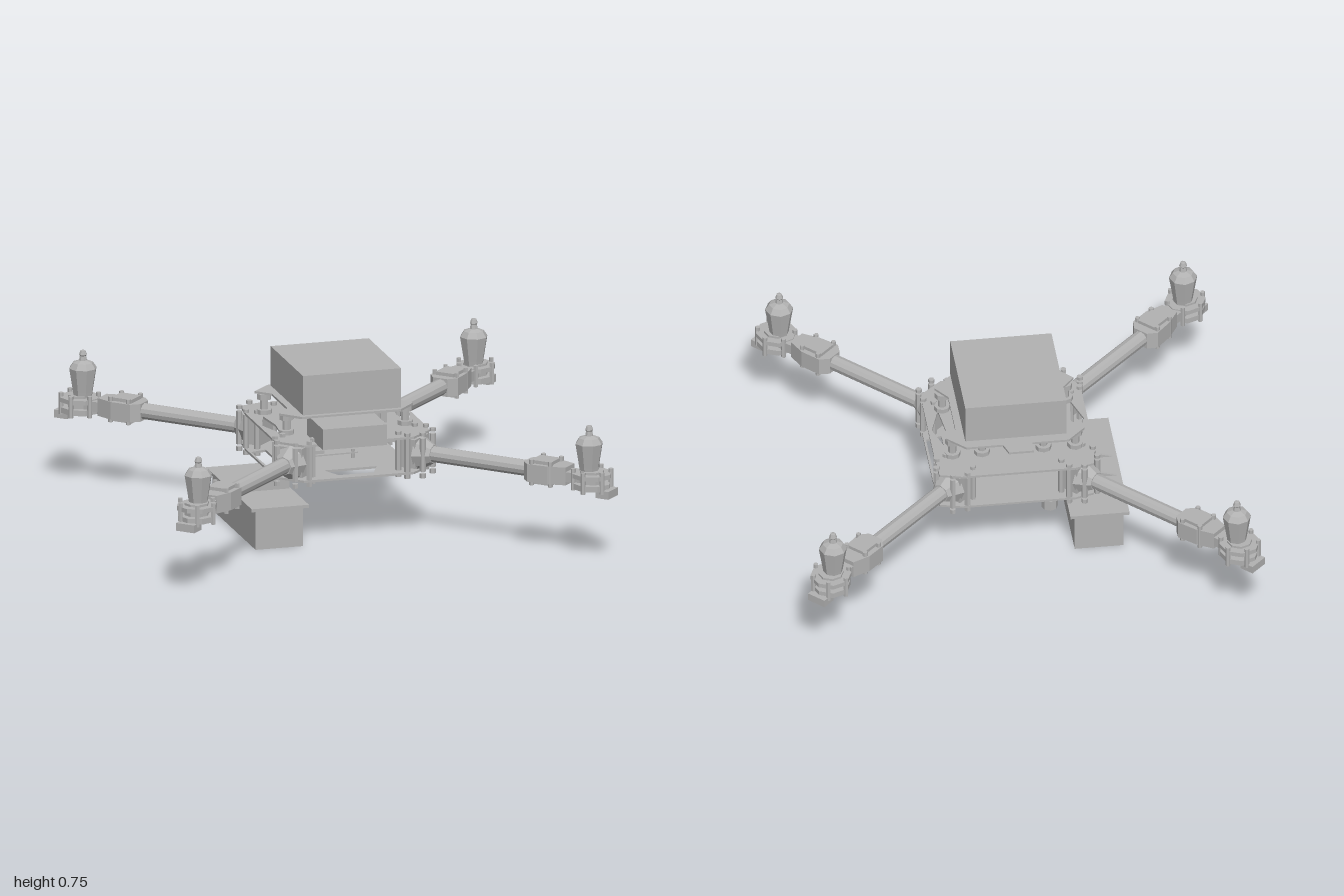
import * as THREE from 'three';

export function createModel() {
  const model = new THREE.Group();
  model.name = 'quadcopter';
  const grey = new THREE.MeshStandardMaterial({ color: 0xb2b2b2 });
  grey.name = 'grey';
  grey.flatShading = true;
  grey.side = THREE.DoubleSide;

  function add(parent, name, geometry, x = 0, y = 0, z = 0) {
    const mesh = new THREE.Mesh(geometry, grey);
    mesh.name = name;
    mesh.position.set(x, y, z);
    parent.add(mesh);
    return mesh;
  }
  // Box given by its limits
  const box = (parent, name, x0, x1, y0, y1, z0, z1) =>
    add(parent, name, new THREE.BoxGeometry(x1 - x0, y1 - y0, z1 - z0), (x0 + x1) / 2, (y0 + y1) / 2, (z0 + z1) / 2);
  // Upright post between two heights
  const post = (parent, name, x, z, y0, y1, r, sides = 6, rTop = r) =>
    add(parent, name, new THREE.CylinderGeometry(rTop, r, y1 - y0, sides), x, (y0 + y1) / 2, z);
  // Horizontal plate from an outline of [x, z] points, with optional holes
  function plate(parent, name, outline, y0, y1, holes = []) {
    const toPoints = (list) => list.map(([x, z]) => new THREE.Vector2(x, -z));
    const shape = new THREE.Shape(toPoints(outline));
    holes.forEach((h) => shape.holes.push(new THREE.Path(toPoints(h))));
    const geometry = new THREE.ExtrudeGeometry(shape, { depth: y1 - y0, bevelEnabled: false });
    geometry.rotateX(-Math.PI / 2);
    return add(parent, name, geometry, 0, y0, 0);
  }

  // Frame plates
  const octagon = [[-0.25, -0.355], [0.25, -0.355], [0.345, -0.33], [0.35, -0.2], [0.35, 0.2], [0.345, 0.27],
    [0.25, 0.355], [-0.25, 0.355], [-0.335, 0.27], [-0.35, 0.2], [-0.35, -0.2], [-0.335, -0.33]];
  plate(model, 'middlePlate', octagon, 0.45, 0.46, [
    [[0.29, -0.14], [0.335, 0], [0.29, 0.14], [0.275, 0]],
    [[-0.29, -0.14], [-0.275, 0], [-0.29, 0.14], [-0.335, 0]],
  ]);
  plate(model, 'lowerPlate', octagon, 0.29, 0.3, [
    [[0.27, -0.17], [0.34, -0.15], [0.34, 0.15], [0.27, 0.17]],
    [[-0.27, -0.17], [-0.27, 0.17], [-0.34, 0.15], [-0.34, -0.15]],
    [[-0.12, 0.22], [0.12, 0.22], [0.08, 0.31], [-0.08, 0.31]],
  ]);
  plate(model, 'topPlate', [[-0.23, 0.255], [0.22, 0.255], [0.3, 0.17], [0.25, 0.1], [0.25, -0.14], [0.3, -0.2],
    [0.22, -0.28], [0.06, -0.28], [0.04, -0.34], [-0.07, -0.34], [-0.07, -0.28], [-0.23, -0.28],
    [-0.31, -0.2], [-0.25, -0.14], [-0.25, 0.1], [-0.31, 0.17]], 0.55, 0.56);

  // Battery on top and the electronics between the plates
  box(model, 'topBattery', -0.225, 0.22, 0.567, 0.745, -0.243, 0.255);
  box(model, 'batteryPad', -0.2, 0.2, 0.559, 0.568, -0.22, 0.23);
  box(model, 'frontBox', -0.19, 0.1, 0.458, 0.551, 0.2, 0.442);
  box(model, 'receiver', 0.09, 0.2, 0.462, 0.51, -0.1, 0.11);
  box(model, 'rearModule', -0.07, 0.05, 0.462, 0.5, -0.1, 0.11);
  plate(model, 'powerBoard', [[-0.17, -0.1], [-0.05, -0.16], [0.1, -0.12], [0.15, 0], [0.1, 0.14], [-0.08, 0.17], [-0.17, 0.08]], 0.278, 0.288);
  plate(model, 'controlBoard', [[-0.2, -0.07], [0.08, -0.06], [0.08, 0.07], [-0.2, 0.08]], 0.322, 0.328);
  box(model, 'controlChip', -0.18, -0.07, 0.328, 0.343, -0.03, 0.06);
  for (const x of [-0.16, 0.06]) {
    for (const z of [-0.05, 0.06]) post(model, 'boardSpacer', x, z, 0.3, 0.34, 0.008);
  }

  // Dampers between the middle and top plates
  for (const x of [-0.27, -0.13, 0.14, 0.27]) {
    for (const z of [-0.19, 0.15]) {
      post(model, 'damper', x, z, 0.46, 0.55, 0.018, 8);
      post(model, 'damperCollar', x, z, 0.46, 0.48, 0.035, 8);
      post(model, 'damperCollar', x, z, 0.525, 0.55, 0.032, 8);
    }
  }

  // Small camera under the frame
  box(model, 'camera', -0.19, -0.115, 0.22, 0.295, -0.255, -0.205);
  post(model, 'cameraLens', -0.152, -0.23, 0.172, 0.22, 0.036, 8);

  // Side container with its lid and sloping brackets
  box(model, 'sideContainer', -0.465, -0.25, 0, 0.178, -0.325, 0.338);
  box(model, 'containerLid', -0.488, -0.228, 0.176, 0.19, -0.345, 0.355);
  const bracketShape = new THREE.Shape([[-0.47, 0.19], [-0.235, 0.19], [-0.235, 0.258]].map((p) => new THREE.Vector2(...p)));
  for (const z of [-0.07, 0.07]) {
    const rib = new THREE.ExtrudeGeometry(bracketShape, { depth: 0.012, bevelEnabled: false });
    add(model, 'lidBracket', rib, 0, 0, z);
  }

  // Motor bell profile
  const motorProfile = [[0, 0.4], [0.042, 0.4], [0.045, 0.42], [0.062, 0.525], [0.045, 0.55], [0.018, 0.56],
    [0.014, 0.58], [0.018, 0.585], [0.012, 0.603], [0, 0.605]].map((p) => new THREE.Vector2(...p));

  // Four arms, each built along its own +x and turned to its corner
  for (const sx of [-1, 1]) {
    for (const sz of [-1, 1]) {
      const arm = new THREE.Group();
      arm.name = 'arm';
      arm.rotation.y = Math.atan2(-sz, sx);
      model.add(arm);

      // Hub clamp
      box(arm, 'hubBlock', 0.345, 0.425, 0.31, 0.44, -0.062, 0.062);
      const funnel = new THREE.CylinderGeometry(0.042, 0.08, 0.07, 8);
      funnel.rotateZ(-Math.PI / 2);
      add(arm, 'hubFunnel', funnel, 0.45, 0.37, 0);
      for (const [r, w] of [[0.35, 0.075], [0.4, 0.085], [0.455, 0.045]]) {
        for (const side of [-1, 1]) {
          post(arm, 'hubPost', r, w * side, 0.3, 0.45, 0.014);
          post(arm, 'hubBolt', r, w * side, 0.27, 0.29, 0.014);
          post(arm, 'hubNut', r, w * side, 0.46, 0.475, 0.014);
        }
      }

      // Tube
      const tube = new THREE.CylinderGeometry(0.036, 0.036, 0.66, 12);
      tube.rotateZ(-Math.PI / 2);
      add(arm, 'armTube', tube, 0.73, 0.37, 0);

      // Motor clamp and neck
      plate(arm, 'motorClamp', [[0.95, -0.035], [0.985, -0.068], [1.08, -0.068], [1.16, -0.04], [1.16, 0.04],
        [1.08, 0.062], [0.985, 0.068], [0.95, 0.035]], 0.33, 0.41);
      box(arm, 'clampCap', 0.99, 1.09, 0.318, 0.425, -0.045, 0.045);
      box(arm, 'motorNeck', 1.13, 1.23, 0.345, 0.39, -0.04, 0.04);
      for (const side of [-1, 1]) {
        post(arm, 'clampBolt', 1.0, side * 0.055, 0.315, 0.43, 0.011);
        post(arm, 'clampBolt', 1.09, side * 0.05, 0.315, 0.43, 0.011);
      }

      // Motor mount and motor
      post(arm, 'mountLower', 1.27, 0, 0.325, 0.35, 0.085, 8);
      post(arm, 'mountUpper', 1.27, 0, 0.375, 0.395, 0.09, 8);
      post(arm, 'mountCore', 1.27, 0, 0.345, 0.405, 0.055, 8);
      for (let i = 0; i < 6; i++) {
        const a = (i + 0.5) * Math.PI / 3;
        post(arm, 'mountBolt', 1.27 + 0.082 * Math.cos(a), 0.082 * Math.sin(a), 0.315, 0.412, 0.011);
      }
      box(arm, 'endLight', 1.31, 1.375, 0.295, 0.33, -0.045, 0.045);
      add(arm, 'motor', new THREE.LatheGeometry(motorProfile, 8), 1.255, 0, 0);
    }
  }
  return model;
}
